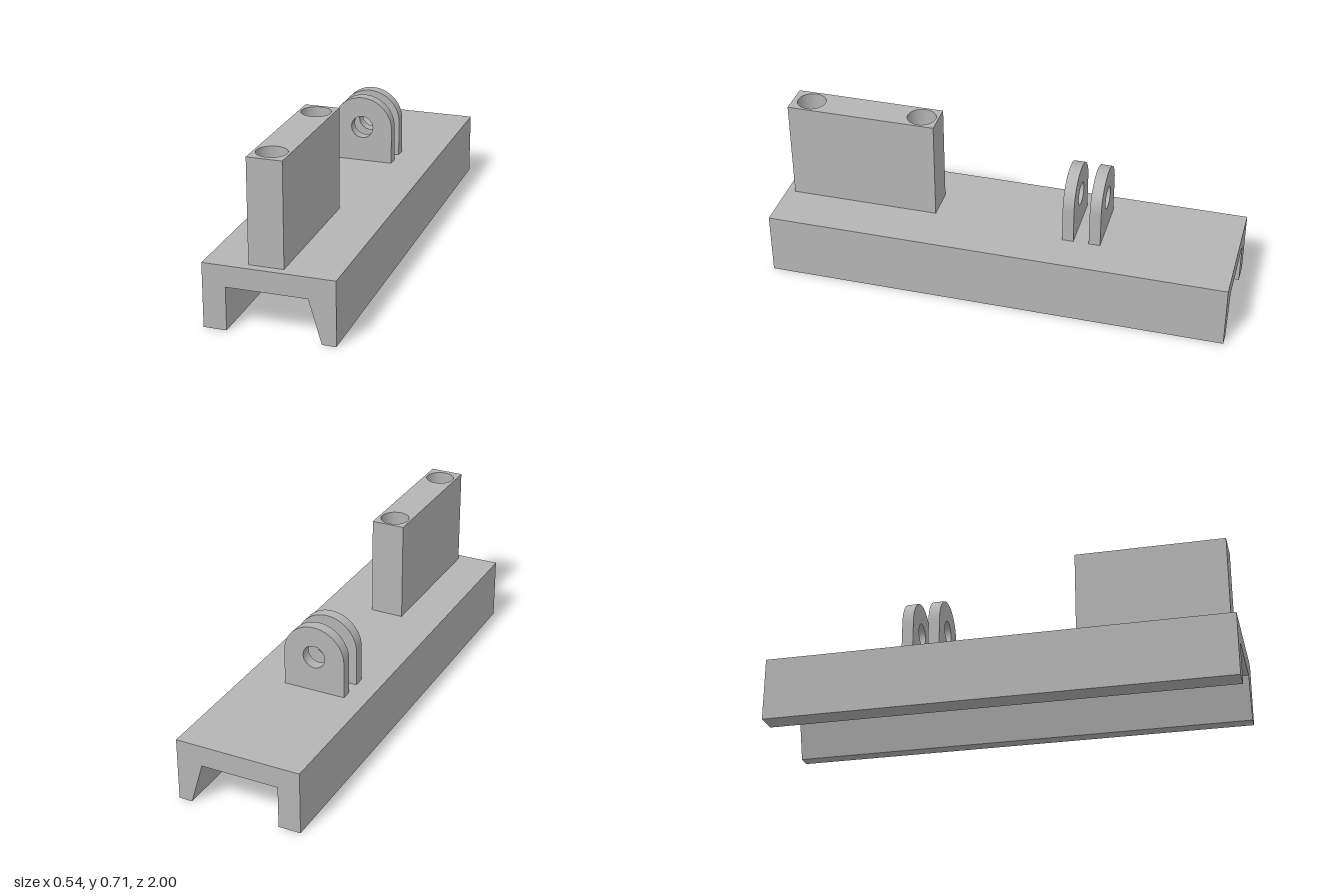
import * as THREE from 'three';
import { toCreasedNormals } from 'three/addons/utils/BufferGeometryUtils.js';

const W = 0.272;          // half width of the channel
const ROOF = 0.183;       // underside of the deck
const DECK = 0.273;       // top of the deck
const HOLE_X = -0.022;
const HOLES_Z = [0.385, 0.88];

// Closed regular polygon, used for round holes
function circle(x, y, r, sides) {
  const pts = [];
  for (let i = 0; i < sides; i++) {
    const a = (i / sides) * Math.PI * 2;
    pts.push(new THREE.Vector2(x + r * Math.cos(a), y + r * Math.sin(a)));
  }
  return new THREE.Path(pts);
}

function polygon(points) {
  return new THREE.Shape(points.map(([x, y]) => new THREE.Vector2(x, y)));
}

function extrude(shape, depth) {
  return new THREE.ExtrudeGeometry(shape, { depth, bevelEnabled: false, curveSegments: 32 });
}

// Upright slab between two heights, with vertical holes [x, z, radius, sides]
function slab(x0, x1, z0, z1, y0, y1, holes) {
  const shape = polygon([[x0, -z1], [x1, -z1], [x1, -z0], [x0, -z0]]);
  for (const [x, z, r, sides] of holes) shape.holes.push(circle(x, -z, r, sides));
  const geo = extrude(shape, y1 - y0);
  geo.rotateX(-Math.PI / 2).translate(0, y0, 0);
  return toCreasedNormals(geo, 0.5);
}

export function createModel() {
  const grey = new THREE.MeshStandardMaterial({ color: 0xb4b4b4 });
  grey.name = 'grey';
  const model = new THREE.Group();
  model.name = 'channelBracket';
  const add = (name, geo) => {
    const mesh = new THREE.Mesh(geo, grey);
    mesh.name = name;
    model.add(mesh);
  };

  // Channel base: deck with one through hole, a straight rail and a tapered rail
  add('deck', slab(-W, W, -1, 1, ROOF, DECK, [[HOLE_X, HOLES_Z[0], 0.04, 8]]));
  const rails = {
    straightRail: [[-W, 0], [-0.176, 0], [-0.176, ROOF], [-W, ROOF]],
    taperedRail: [[0.214, 0], [W, 0], [W, ROOF], [0.16, ROOF]],
  };
  for (const [name, points] of Object.entries(rails)) {
    add(name, extrude(polygon(points), 2).translate(0, 0, -1));
  }

  // Tall block with two counterbored holes
  const shelf = 0.34;
  const bores = (r, sides) => HOLES_Z.map((z) => [HOLE_X, z, r, sides]);
  add('blockFoot', slab(-0.094, 0.051, 0.312, 0.963, DECK, shelf, bores(0.04, 8)));
  add('blockBody', slab(-0.094, 0.051, 0.312, 0.963, shelf, 0.71, bores(0.062, 32)));

  // Pair of round-topped hinge lugs with a pin hole
  const cx = -0.039, cy = 0.429, r = 0.136;
  const lug = new THREE.Shape();
  lug.moveTo(cx - r, DECK);
  lug.lineTo(cx + r, DECK);
  lug.lineTo(cx + r, cy);
  lug.absarc(cx, cy, r, 0, Math.PI, false);
  lug.closePath();
  lug.holes.push(circle(cx, cy, 0.05, 16));
  [['frontLug', -0.312], ['backLug', -0.428]].forEach(([name, z]) => {
    add(name, toCreasedNormals(extrude(lug, 0.049), 0.5).translate(0, 0, z));
  });

  return model;
}
